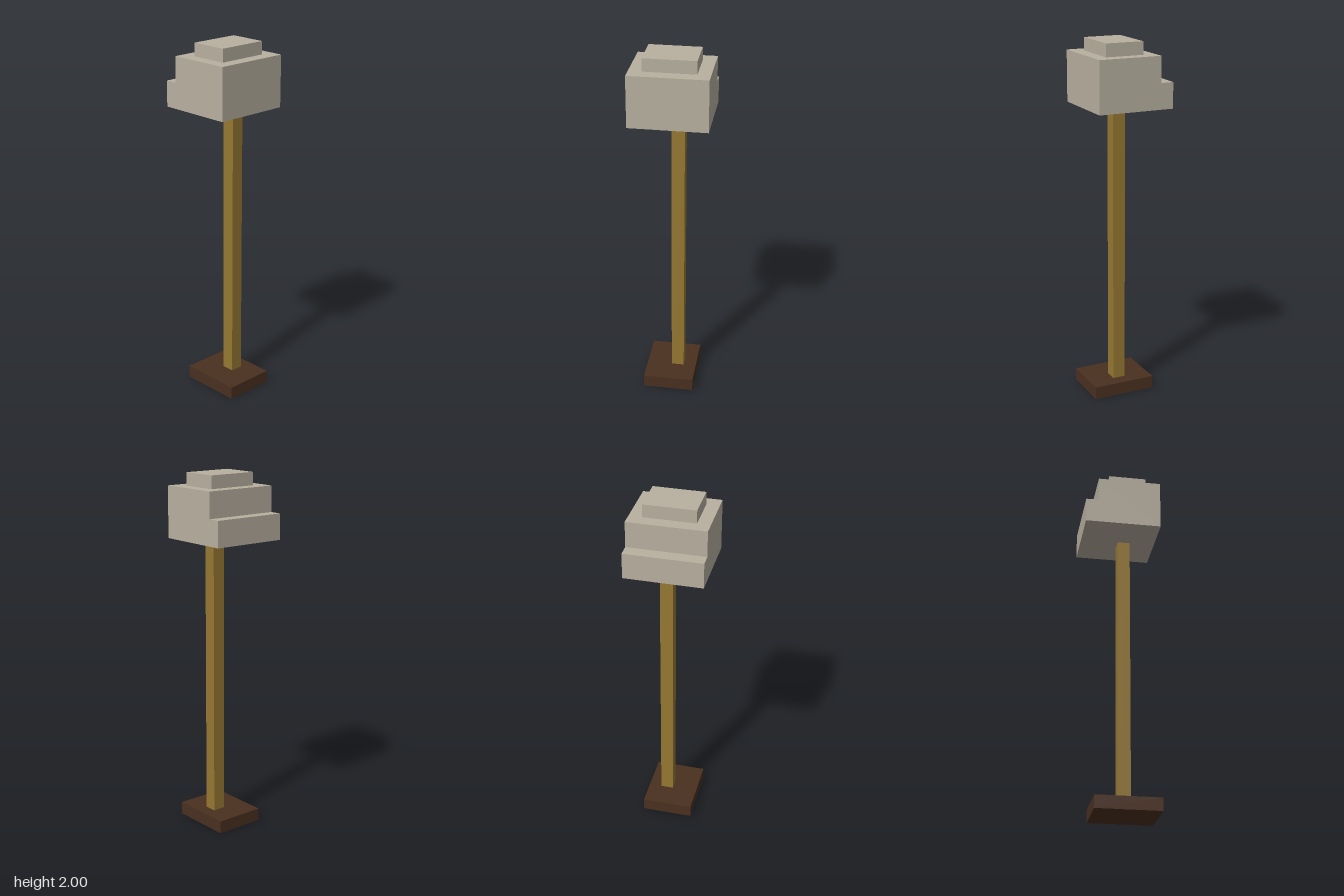
import * as THREE from 'three';

const UNIT = 2 / 28; // the model sits on a grid 28 cells tall

const material = (name, color) => {
  const m = new THREE.MeshStandardMaterial({ color });
  m.name = name;
  return m;
};

// Box spanning two opposite corners, given in grid cells
function block(name, mat, [x0, y0, z0], [x1, y1, z1]) {
  const geometry = new THREE.BoxGeometry((x1 - x0) * UNIT, (y1 - y0) * UNIT, (z1 - z0) * UNIT);
  const mesh = new THREE.Mesh(geometry, mat);
  mesh.name = name;
  mesh.position.set(x0 + x1, y0 + y1, z0 + z1).multiplyScalar(UNIT / 2);
  return mesh;
}

// Extruded side profile, keeping the stepped head one clean solid
function steppedHead(mat) {
  const profile = [[-3, 23], [3, 23], [3, 25], [2, 25], [2, 27], [-3, 27]]; // (-z, y)
  const shape = new THREE.Shape(profile.map(([a, y]) => new THREE.Vector2(a * UNIT, y * UNIT)));
  const geometry = new THREE.ExtrudeGeometry(shape, { depth: 6 * UNIT, bevelEnabled: false });
  geometry.translate(0, 0, -3 * UNIT).rotateY(Math.PI / 2);
  const mesh = new THREE.Mesh(geometry, mat);
  mesh.name = 'head';
  return mesh;
}

export function createModel() {
  const stone = material('pale stone', 0xb8b0a0);
  const wood = material('golden wood', 0x967832);
  const darkWood = material('dark wood', 0x4a3020);

  const group = new THREE.Group();
  group.name = 'hammer';
  group.add(
    block('pommel', darkWood, [-2, 0, -2], [2, 1, 3]),
    block('handle', wood, [0, 1, 0], [1, 23, 1]),
    steppedHead(stone), // step faces the back
    block('headCap', stone, [-2, 27, -1], [2, 28, 2]),
  );
  return group;
}
